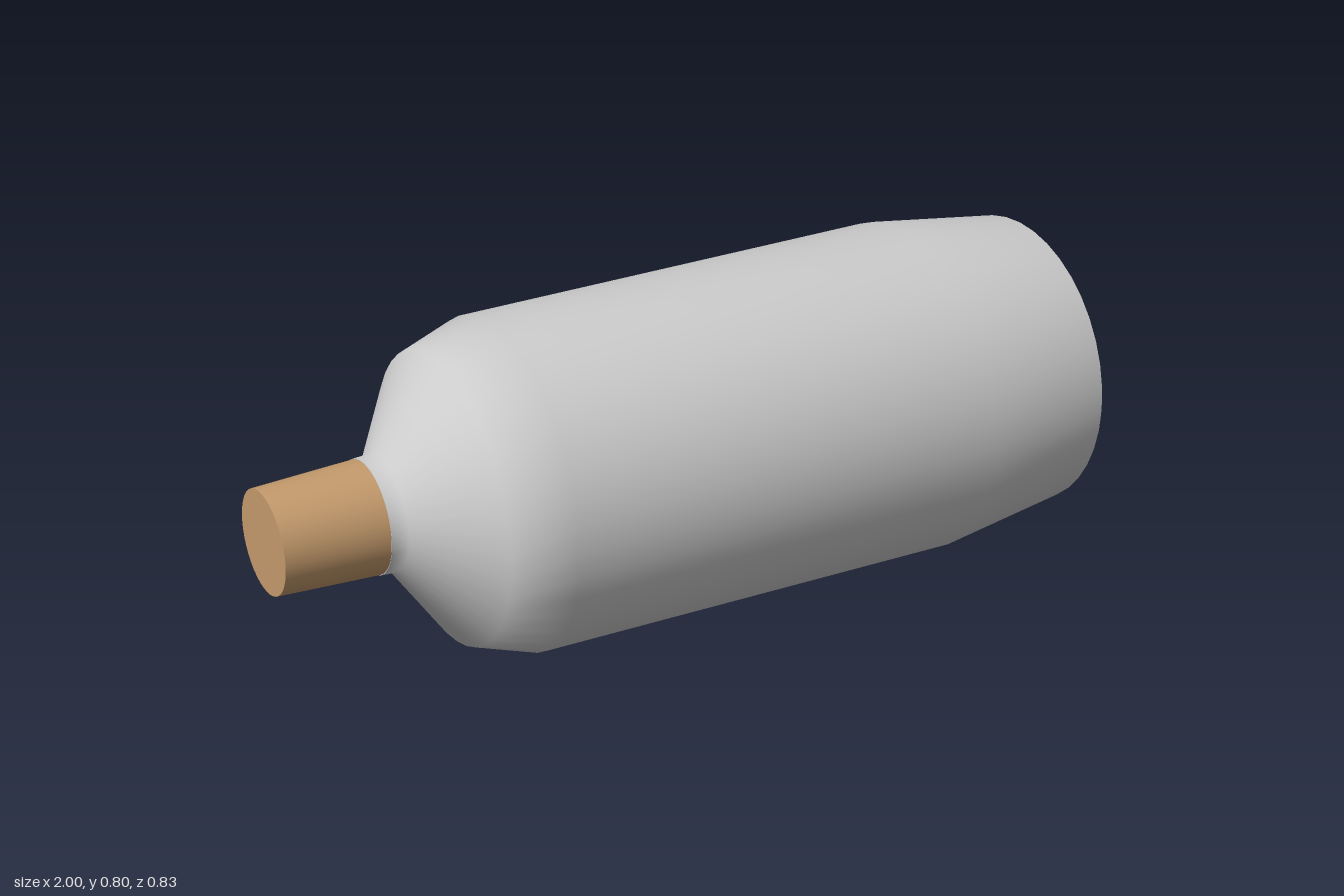
import * as THREE from 'three';
import { ConvexGeometry } from 'three/addons/geometries/ConvexGeometry.js';

const SIDES = 40;
const AXIS_Y = 0.4, AXIS_Z = 0.015;

export function createModel() {
  const model = new THREE.Group();
  const glass = new THREE.MeshStandardMaterial({ color: 0xcccccc });
  const corkWood = new THREE.MeshStandardMaterial({ color: 0xc49a6c });
  const chipWood = new THREE.MeshStandardMaterial({ color: 0xc49a6c, flatShading: true });

  function add(parent, geometry, material, name) {
    const mesh = new THREE.Mesh(geometry, material);
    mesh.name = name;
    parent.add(mesh);
    return mesh;
  }

  // Turned parts: profiles are [position along the axis, radius]
  const bottle = new THREE.Group();
  bottle.name = 'bottle';
  bottle.rotation.z = -Math.PI / 2;
  bottle.position.set(0, AXIS_Y, AXIS_Z);
  model.add(bottle);
  const turn = (profile, material, name) =>
    add(bottle, new THREE.LatheGeometry(profile.map(([t, r]) => new THREE.Vector2(r, t)), SIDES), material, name);

  turn([[-0.76, 0.1305], [-0.72, 0.133], [-0.58, 0.337], [-0.44, 0.385], [0.63, 0.398], [0.97, 0.353]], glass, 'bottleBody');
  turn([[0.97, 0.353], [1, 0]], glass, 'bottleBase');
  turn([[-0.76, 0.11], [-0.76, 0.1305]], glass, 'bottleLip');

  // Cork plugged into the neck
  const cork = add(bottle, new THREE.CylinderGeometry(0.131, 0.119, 0.28, SIDES), corkWood, 'cork');
  cork.position.y = -0.86;

  // Large chip on the lower back wall
  const chipPoints = [
    [0.54, 0.375, -0.375], [0.6, 0.375, -0.377], [0.57, 0.385, -0.3],
    [0.51, 0.29, -0.4], [0.605, 0.29, -0.415], [0.635, 0.27, -0.37],
    [0.495, 0.133, -0.33], [0.51, 0.133, -0.375], [0.6, 0.133, -0.38],
    [0.645, 0.133, -0.33], [0.64, 0.133, -0.22], [0.5, 0.133, -0.22],
  ].map((p) => new THREE.Vector3(...p));
  add(model, new ConvexGeometry(chipPoints), chipWood, 'largeChip');

  // Small crumbs beside it: x, y, z, half width, half height
  const crumbs = [
    [0.395, 0.133, -0.268, 0.034, 0.024],
    [0.33, 0.137, -0.273, 0.03, 0.03],
    [0.175, 0.133, -0.268, 0.045, 0.024],
  ];
  crumbs.forEach(([x, y, z, w, h], i) => {
    const crumb = add(model, new THREE.DodecahedronGeometry(1), chipWood, 'crumb' + (i + 1));
    crumb.position.set(x, y, z);
    crumb.scale.set(w, h, 0.03);
    crumb.rotation.x = 0.5 * i;
  });

  return model;
}
